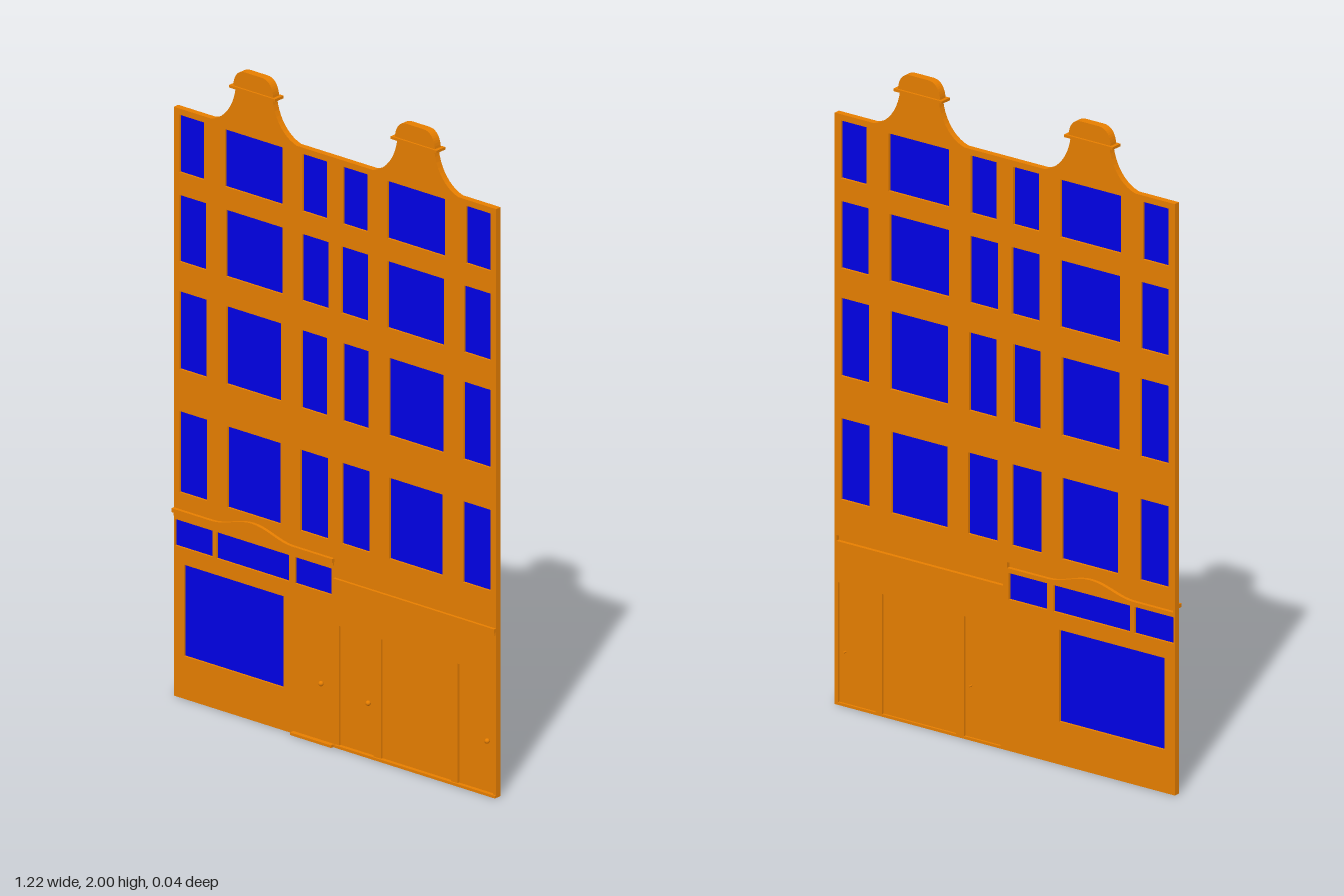
import * as THREE from 'three';

const orange = new THREE.MeshStandardMaterial({ color: 0xff8c00 });
orange.name = 'orange brick';
const blue = new THREE.MeshStandardMaterial({ color: 0x0000ff });
blue.name = 'blue glass';

const BACK = -0.012, FRONT = 0.008;
const GABLE_X = 0.307;

// openings as [x0, x1, y0, y1]
const upperRows = [
  { y: [1.625, 1.803], narrow: [0.497, 0.59], wide: [0.2, 0.418], inner: [0.03, 0.123] },
  { y: [1.348, 1.555], narrow: [0.49, 0.59], wide: [0.2, 0.414], inner: [0.025, 0.125] },
  { y: [1.016, 1.257], narrow: [0.488, 0.59], wide: [0.205, 0.412], inner: [0.03, 0.128] },
  { y: [0.635, 0.886], narrow: [0.486, 0.59], wide: [0.206, 0.408], inner: [0.026, 0.132] },
];
const windows = [];
for (const row of upperRows)
  for (const [a, b] of [row.narrow, row.wide, row.inner])
    windows.push([a, b, ...row.y], [-b, -a, ...row.y]);
const transoms = [[-0.607, -0.466], [-0.45, -0.175], [-0.152, -0.014]].map(([a, b]) => [a, b, 0.466, 0.548]);
const shopWindow = [-0.574, -0.196, 0.132, 0.415];
const doors = [[0.015, 0.146], [0.175, 0.441], [0.466, 0.6]].map(([a, b]) => [a, b, 0.008, 0.378]);

function rectPath([x0, x1, y0, y1]) {
  const p = new THREE.Path();
  p.moveTo(x0, y0);
  p.lineTo(x0, y1);
  p.lineTo(x1, y1);
  p.lineTo(x1, y0);
  p.closePath();
  return p;
}

function addMesh(group, name, geometry, material) {
  const m = new THREE.Mesh(geometry, material);
  m.name = name;
  group.add(m);
  return m;
}

function addBox(group, name, [x0, x1, y0, y1], z0, z1, material = orange) {
  const m = addMesh(group, name, new THREE.BoxGeometry(x1 - x0, y1 - y0, z1 - z0), material);
  m.position.set((x0 + x1) / 2, (y0 + y1) / 2, (z0 + z1) / 2);
  return m;
}

function extrude(shape, z0, z1) {
  const g = new THREE.ExtrudeGeometry(shape, { depth: z1 - z0, bevelEnabled: false, curveSegments: 10 });
  return g.translate(0, 0, z0);
}

// outline of a straight moulding with an arch over its middle
function archedBand(x0, x1, bottom, top) {
  const rise = x => {
    const t = (x + GABLE_X) / 0.155;
    return Math.abs(t) < 1 ? 0.0155 * (1 + Math.cos(Math.PI * t)) : 0;
  };
  const pts = [], n = 36;
  for (let i = 0; i <= n; i++) {
    const x = x0 + (x1 - x0) * i / n;
    pts.push(new THREE.Vector2(x, bottom + rise(x)));
  }
  for (let i = n; i >= 0; i--) {
    const x = x0 + (x1 - x0) * i / n;
    pts.push(new THREE.Vector2(x, top + rise(x)));
  }
  return pts;
}

function wallShape() {
  const s = new THREE.Shape();
  s.moveTo(-0.612, 0);
  s.lineTo(0.612, 0);
  s.lineTo(0.612, 1.822);
  // the two gable necks, traced from right to left
  for (const cx of [GABLE_X, -GABLE_X]) {
    s.lineTo(cx + 0.162, 1.822);
    s.bezierCurveTo(cx + 0.115, 1.835, cx + 0.078, 1.88, cx + 0.07, 1.942);
    s.lineTo(cx - 0.07, 1.942);
    s.bezierCurveTo(cx - 0.078, 1.88, cx - 0.115, 1.835, cx - 0.162, 1.822);
  }
  s.lineTo(-0.612, 1.822);
  s.closePath();
  for (const o of [...windows, ...transoms, shopWindow, ...doors]) s.holes.push(rectPath(o));
  // slots behind the hollow mouldings
  s.holes.push(rectPath([0.006, 0.606, 0.504, 0.522]));
  s.holes.push(new THREE.Path(archedBand(-0.606, -0.008, 0.562, 0.58).reverse()));
  return s;
}

export function createModel() {
  const model = new THREE.Group();
  model.name = 'houseFront';

  addMesh(model, 'wall', extrude(wallShape(), BACK, FRONT), orange);

  // glazing set back inside the openings
  for (const o of windows) addBox(model, 'upperWindow', o, -0.004, 0.001, blue);
  for (const o of transoms) addBox(model, 'transomWindow', o, -0.004, 0.001, blue);
  addBox(model, 'shopWindow', shopWindow, -0.004, 0.001, blue);

  // recessed doors and their round knobs
  for (const o of doors) addBox(model, 'door', o, -0.005, 0.001);
  for (const [x, y, z] of [[-0.048, 0.185, 0.014], [0.125, 0.167, 0.007], [0.577, 0.167, 0.007]]) {
    const knob = addMesh(model, 'doorKnob', new THREE.SphereGeometry(0.008, 12, 8), orange);
    knob.position.set(x, y, z);
    const stem = addMesh(model, 'knobStem', new THREE.CylinderGeometry(0.003, 0.003, 0.026, 8), orange);
    stem.rotation.x = Math.PI / 2;
    stem.position.set(x, y, z - 0.012);
  }

  // mouldings over the ground floor
  addMesh(model, 'archedCorniceLower', extrude(new THREE.Shape(archedBand(-0.609, -0.004, 0.56, 0.572)), 0, 0.013), orange);
  addMesh(model, 'archedCorniceUpper', extrude(new THREE.Shape(archedBand(-0.612, -0.002, 0.571, 0.583)), 0, 0.019), orange);
  addBox(model, 'doorCorniceLower', [0.003, 0.609, 0.502, 0.513], 0, 0.012);
  addBox(model, 'doorCorniceUpper', [0.001, 0.612, 0.512, 0.524], 0, 0.017);

  // doorsteps
  addBox(model, 'shopDoorstep', [-0.158, -0.002, 0, 0.008], 0, 0.023);
  addBox(model, 'doorstep', [0, 0.612, 0, 0.008], 0, 0.014);

  // gable tops: a projecting ledge with a rounded cap
  for (const cx of [-GABLE_X, GABLE_X]) {
    addBox(model, 'gableLedge', [cx - 0.087, cx + 0.087, 1.941, 1.949], -0.021, 0.018);
    const cap = new THREE.Shape();
    cap.moveTo(cx - 0.076, 1.948);
    cap.lineTo(cx + 0.076, 1.948);
    cap.bezierCurveTo(cx + 0.074, 1.978, cx + 0.06, 2, cx + 0.032, 2);
    cap.lineTo(cx - 0.032, 2);
    cap.bezierCurveTo(cx - 0.06, 2, cx - 0.074, 1.978, cx - 0.076, 1.948);
    addMesh(model, 'gableCap', extrude(cap, -0.014, 0.012), orange);
  }

  return model;
}
